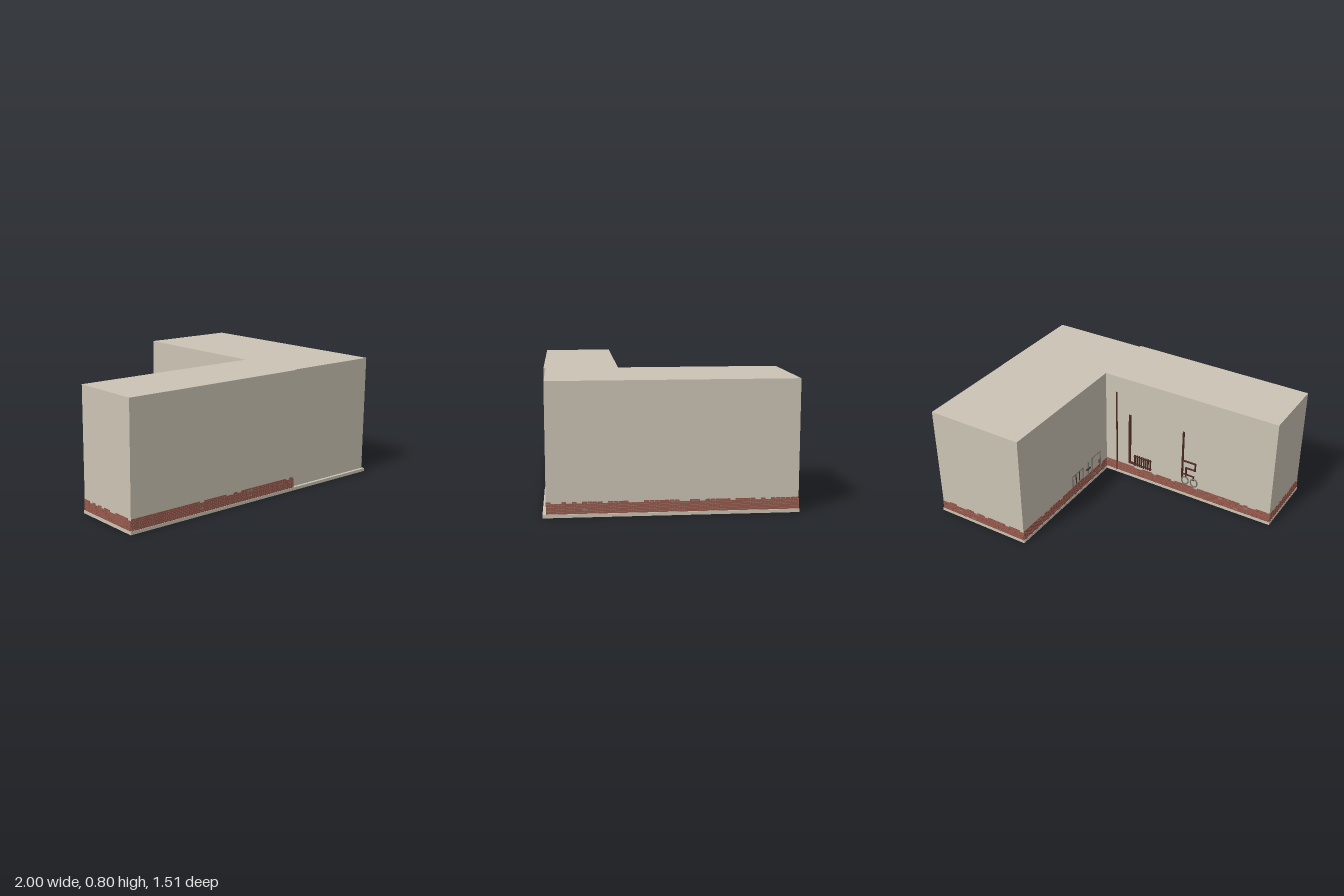
import * as THREE from 'three';
import { mergeGeometries } from 'three/addons/utils/BufferGeometryUtils.js';

const mat = (name, color) => new THREE.MeshStandardMaterial({ name, color });

// Plan corners [x, z], counter-clockwise seen from above
const WALL = [[-0.995, 0.75], [0.305, 0.75], [0.305, 0.735], [0.992, 0.735], [0.992, -0.752],
  [0.307, -0.752], [0.307, 0.275], [-0.995, 0.275]];
const SLAB = [[-1, 0.755], [1, 0.755], [1, -0.757], [0.302, -0.757], [0.302, 0.27], [-1, 0.27]];

function prism(name, pts, y0, y1, material) {
  const shape = new THREE.Shape(pts.map(([x, z]) => new THREE.Vector2(x, -z)));
  const geo = new THREE.ExtrudeGeometry(shape, { depth: y1 - y0, bevelEnabled: false });
  geo.rotateX(-Math.PI / 2).translate(0, y0, 0);
  const mesh = new THREE.Mesh(geo, material);
  mesh.name = name;
  return mesh;
}

export function createModel() {
  const model = new THREE.Group();
  const plaster = mat('plaster', 0xccc4b5);
  const brick = mat('brick', 0x96594c);
  const mortar = mat('mortar', 0x9a7e70);
  const rust = mat('rustyPipe', 0x4f2c25);
  const metal = mat('greyMetal', 0x77746a);

  model.add(prism('foundationSlab', SLAB, 0, 0.02, plaster));
  model.add(prism('plasterWalls', WALL, 0.018, 0.797, plaster));

  let seed = 7;
  const rand = () => (seed = (seed * 16807) % 2147483647) / 2147483647;

  // Exposed brick strip with a ragged top, on every wall but the recessed front
  const ROWS = 7, PITCH = 0.0104, LENGTH = 0.03;
  WALL.forEach(([x, z], i) => {
    if (i === 2) return;
    const [x2, z2] = WALL[(i + 1) % WALL.length];
    const len = Math.hypot(x2 - x, z2 - z);
    const strip = new THREE.Group();
    strip.name = 'brickStrip';
    strip.position.set(x, 0.02, z);
    strip.rotation.y = Math.atan2(z - z2, x2 - x);

    const backHeight = (ROWS - 1) * PITCH;
    const back = new THREE.Mesh(new THREE.BoxGeometry(len, backHeight, 0.002), mortar);
    back.name = 'mortarBed';
    back.position.set(len / 2, backHeight / 2, 0.001);
    strip.add(back);

    const parts = [];
    for (let r = 0; r < ROWS; r++) {
      for (let s = r % 2 ? -LENGTH / 2 : 0; s < len; s += LENGTH) {
        const skip = r === ROWS - 1 ? 0.25 : 0.01;
        if (rand() < skip) continue;
        const a = Math.max(s, 0), b = Math.min(s + LENGTH - 0.002, len);
        if (b - a < 0.002) continue;
        parts.push(new THREE.BoxGeometry(b - a, PITCH - 0.0014, 0.0035)
          .translate((a + b) / 2, (r + 0.5) * PITCH, 0.00175));
      }
    }
    const bricks = new THREE.Mesh(mergeGeometries(parts), brick);
    bricks.name = 'bricks';
    strip.add(bricks);
    model.add(strip);
  });

  // Round bars along a list of points
  function pipe(parent, name, pts, r, material) {
    for (let i = 1; i < pts.length; i++) {
      const a = new THREE.Vector3(...pts[i - 1]), b = new THREE.Vector3(...pts[i]);
      const dir = b.clone().sub(a);
      const m = new THREE.Mesh(new THREE.CylinderGeometry(r, r, dir.length() + r, 8), material);
      m.name = name;
      m.position.copy(a).add(b).multiplyScalar(0.5);
      m.quaternion.setFromUnitVectors(new THREE.Vector3(0, 1, 0), dir.normalize());
      parent.add(m);
    }
  }
  function group(name, x, z, turn) {
    const g = new THREE.Group();
    g.name = name;
    g.position.set(x, 0, z);
    g.rotation.y = turn;
    model.add(g);
    return g;
  }

  // Long courtyard wall: local x = -world x, local z points out of the wall
  const yard = group('courtyardPipework', 0, 0.275, Math.PI);
  pipe(yard, 'drainPipe', [[-0.218, 0.02, 0], [-0.218, 0.67, 0]], 0.006, rust);
  pipe(yard, 'heatingRiser', [[-0.108, 0.515, 0.002], [-0.108, 0.12, 0.002], [-0.07, 0.12, 0.002]], 0.01, rust);

  // Radiator made of upright ribs between two rails
  for (let i = 0; i < 8; i++) {
    const x = -0.063 + i * 0.018;
    pipe(yard, 'radiatorRib', [[x, 0.112, 0.006], [x, 0.195, 0.006]], 0.006, rust);
  }
  for (const y of [0.12, 0.187]) pipe(yard, 'radiatorRail', [[-0.07, y, 0.005], [0.07, y, 0.005]], 0.005, rust);

  // Branched water pipe with two ring hoops below
  pipe(yard, 'waterRiser', [[0.32, 0.52, 0.002], [0.32, 0.15, 0.002]], 0.008, rust);
  pipe(yard, 'waterLoop', [[0.32, 0.29, 0.002], [0.42, 0.29, 0.002], [0.42, 0.235, 0.002],
    [0.35, 0.235, 0.002], [0.35, 0.16, 0.002]], 0.007, rust);
  pipe(yard, 'waterBranch', [[0.32, 0.18, 0.002], [0.41, 0.18, 0.002], [0.41, 0.15, 0.002]], 0.006, rust);
  for (const x of [0.345, 0.415]) {
    const ring = new THREE.Mesh(new THREE.TorusGeometry(0.026, 0.005, 6, 16), metal);
    ring.name = 'valveRing';
    ring.scale.y = 1.2;
    ring.position.set(x, 0.13, 0.005);
    yard.add(ring);
  }

  // Wing courtyard wall: local x = world z, local z points to -x
  const side = group('wingFittings', 0.307, 0, -Math.PI / 2);
  const frame = (name, x0, x1, y0, y1, r) =>
    pipe(side, name, [[x0, y0, 0.002], [x0, y1, 0.002], [x1, y1, 0.002], [x1, y0, 0.002], [x0, y0, 0.002]], r, metal);
  frame('grille', -0.175, -0.046, 0.1, 0.185, 0.005);
  for (const x of [-0.13, -0.09]) pipe(side, 'grilleBar', [[x, 0.1, 0.002], [x, 0.185, 0.002]], 0.004, rust);
  frame('hatchFrame', 0.07, 0.18, 0.05, 0.2, 0.005);
  pipe(side, 'hatchHandle', [[0.16, 0.11, 0.006], [0.16, 0.14, 0.006]], 0.004, rust);

  // Small tap between grille and hatch
  pipe(side, 'tapPipe', [[0.02, 0.09, 0.004], [0.02, 0.195, 0.004]], 0.006, metal);
  pipe(side, 'tapCross', [[0, 0.14, 0.006], [0.04, 0.14, 0.006]], 0.007, rust);

  return model;
}
